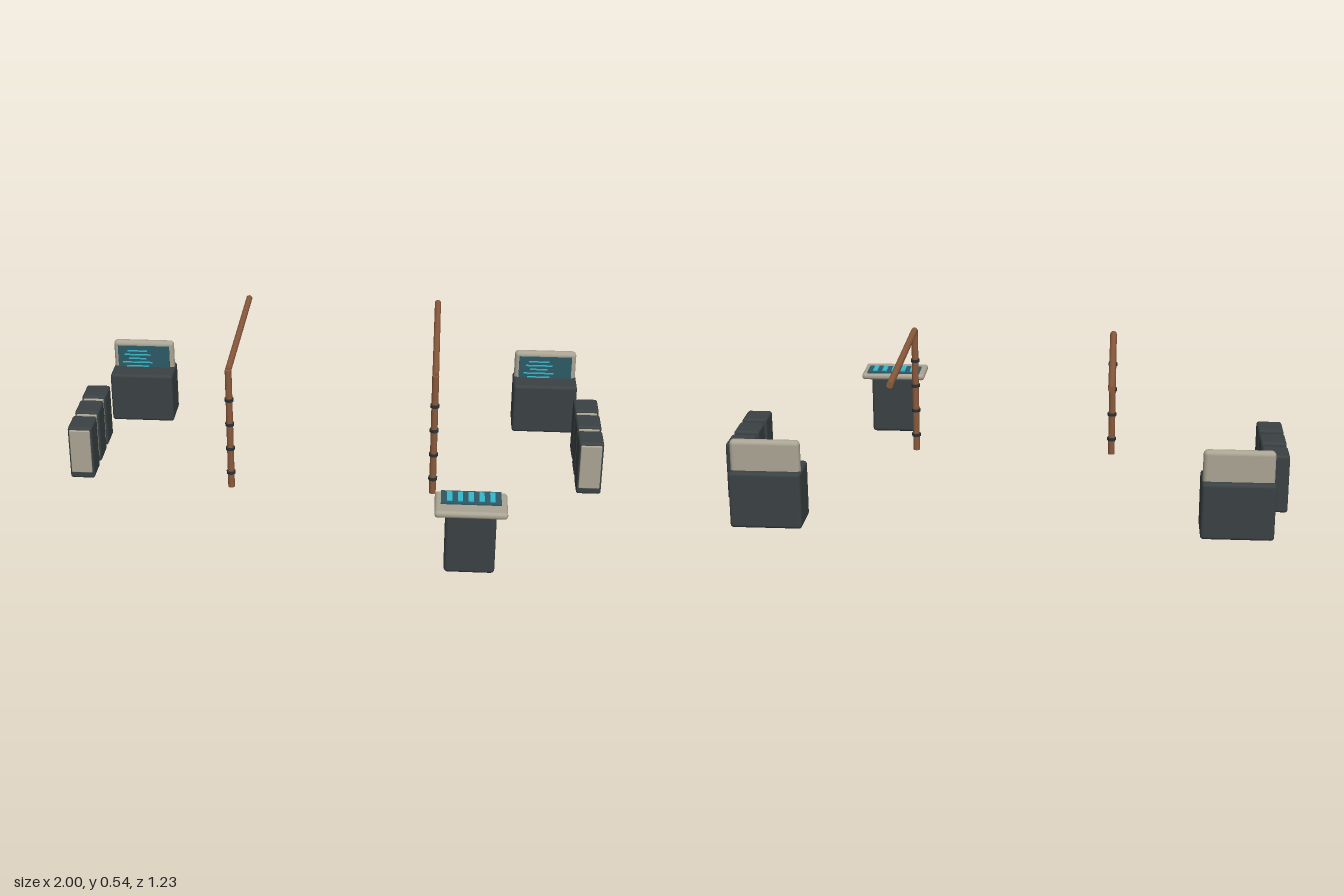
import * as THREE from 'three';
import { RoundedBoxGeometry } from 'three/addons/geometries/RoundedBoxGeometry.js';

const mat = (color) => new THREE.MeshStandardMaterial({ color });
const dark = mat(0x3b4244), beige = mat(0xaaa493), glass = mat(0x2d5a66);
const cyan = mat(0x35b8cc), copper = mat(0x8a5a3c), iron = mat(0x2b3032);

function add(parent, name, geometry, material, x, y, z) {
  const mesh = new THREE.Mesh(geometry, material);
  mesh.name = name;
  mesh.position.set(x, y, z);
  parent.add(mesh);
  return mesh;
}

const rounded = (w, h, d, r) => new RoundedBoxGeometry(w, h, d, 3, r);
const box = (w, h, d) => new THREE.BoxGeometry(w, h, d);

function group(parent, name, x, z) {
  const g = new THREE.Group();
  g.name = name;
  g.position.set(x, 0, z);
  parent.add(g);
  return g;
}

// Cabinet with a thin front door
function cabinet(parent, x, z) {
  const g = group(parent, 'cabinet', x, z);
  add(g, 'cabinetBody', rounded(0.092, 0.213, 0.108, 0.01), dark, 0, 0.122, 0);
  add(g, 'cabinetDoor', rounded(0.078, 0.176, 0.012, 0.004), beige, 0, 0.131, 0.055);
}

// Desk block with an upright framed screen
function console_(parent, x) {
  const g = group(parent, 'screenConsole', x, -0.54);
  add(g, 'consoleBody', rounded(0.25, 0.203, 0.147, 0.012), dark, 0, 0.117, 0);
  add(g, 'screenFrame', rounded(0.243, 0.142, 0.035, 0.016), beige, 0, 0.256, -0.032);
  add(g, 'screenGlass', box(0.208, 0.092, 0.008), glass, 0, 0.263, -0.0135);
  [0.08, 0.105, 0.07, 0.12, 0.09].forEach((w, i) =>
    add(g, 'screenLine', box(w, 0.005, 0.005), cyan, -0.025, 0.289 - i * 0.0165, -0.0085));
}

// Upright pipe with clamp rings and an overhead run to the rear
function pipe(parent, x) {
  const g = group(parent, 'pipe', x, 0.128);
  add(g, 'uprightPipe', new THREE.CylinderGeometry(0.0125, 0.0125, 0.474, 12), copper, 0, 0.29, 0);
  add(g, 'overheadPipe', new THREE.CylinderGeometry(0.012, 0.012, 0.688, 12), copper, 0, 0.527, -0.344)
    .rotation.x = Math.PI / 2;
  for (let i = 0; i < 4; i++) {
    add(g, 'clampRing', new THREE.CylinderGeometry(0.0165, 0.0165, 0.011, 16), iron, 0, 0.114 + i * 0.0985, 0);
  }
}

// Control pedestal with an overhanging top and key strip
function pedestal(parent) {
  const g = group(parent, 'controlPedestal', 0.507, 0.543);
  add(g, 'pedestalBody', rounded(0.175, 0.232, 0.124, 0.014), dark, 0, 0.116, 0);
  add(g, 'pedestalTop', rounded(0.25, 0.026, 0.155, 0.012), beige, 0, 0.235, 0);
  add(g, 'keyPanel', box(0.208, 0.008, 0.09), glass, 0, 0.249, -0.024);
  for (let i = -2; i <= 2; i++) {
    add(g, 'key', box(0.018, 0.006, 0.062), cyan, i * 0.037, 0.2545, -0.024);
  }
}

export function createModel() {
  const model = new THREE.Group();
  model.name = 'controlRoom';
  for (const side of [-1, 1]) {
    for (let i = 0; i < 3; i++) cabinet(model, side * 0.954, -0.018 - i * 0.138);
    console_(model, side * 0.807);
    pipe(model, side * 0.373);
  }
  pedestal(model);
  return model;
}
